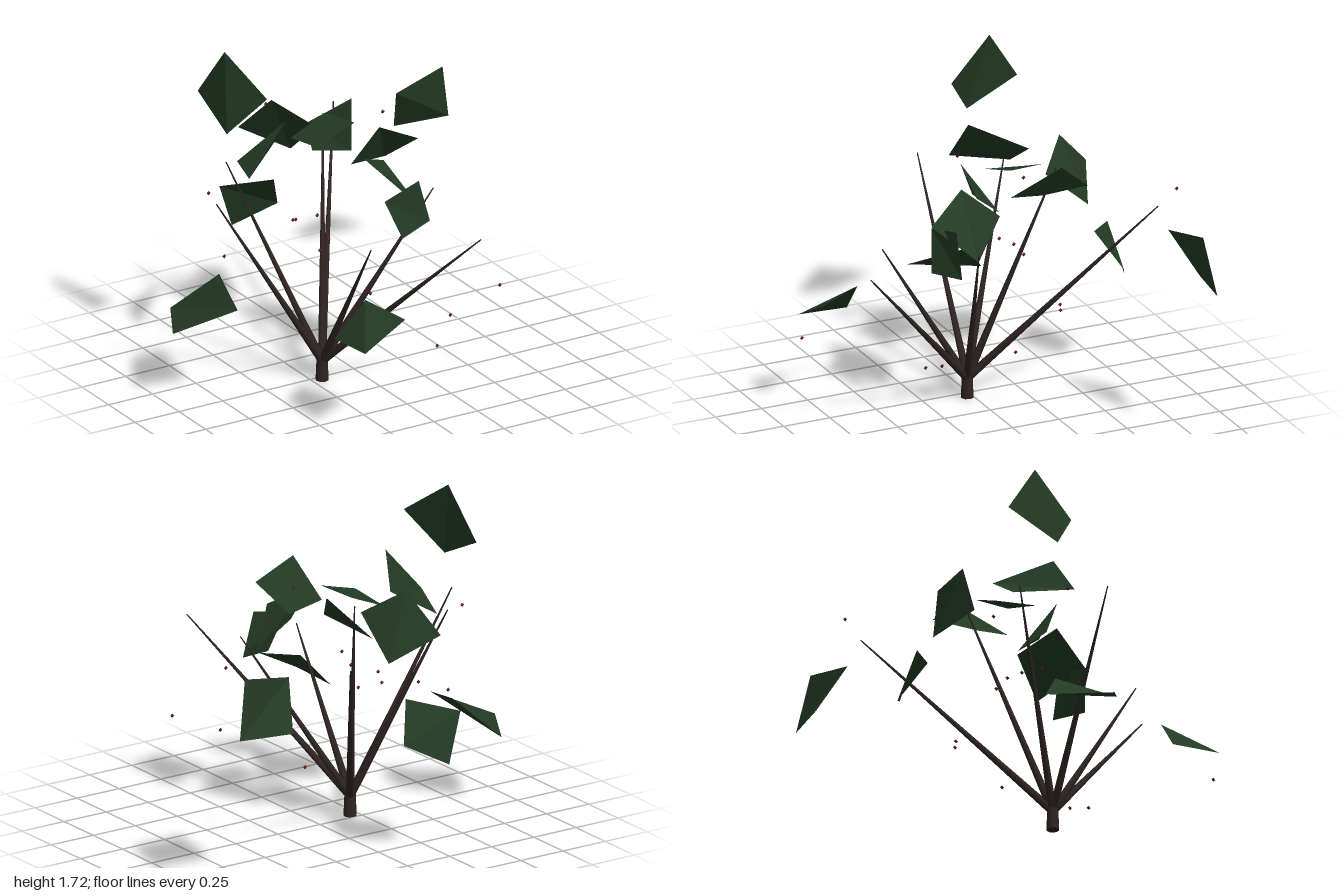
import * as THREE from 'three';

const mat = (name, color, extra = {}) => {
  const m = new THREE.MeshStandardMaterial({ color, ...extra });
  m.name = name;
  return m;
};

export function createModel() {
  const bark = mat('dark bark', 0x2e2322);
  const green = mat('deep leaf green', 0x233a24, { side: THREE.DoubleSide });
  const red = mat('berry red', 0x6b1a1c, { flatShading: true });

  const plant = new THREE.Group();
  plant.name = 'berryBush';
  const add = (name, geometry, material) => {
    const mesh = new THREE.Mesh(geometry, material);
    mesh.name = name;
    plant.add(mesh);
    return mesh;
  };

  // Tapered limb between two points
  const limb = (name, a, b, r0, r1) => {
    const from = new THREE.Vector3(...a), to = new THREE.Vector3(...b);
    const dir = to.clone().sub(from);
    const mesh = add(name, new THREE.CylinderGeometry(r1, r0, dir.length(), 8), bark);
    mesh.position.copy(from).add(to).multiplyScalar(0.5);
    mesh.quaternion.setFromUnitVectors(new THREE.Vector3(0, 1, 0), dir.normalize());
  };

  // Short trunk and the seven branches that fan out of it
  limb('trunk', [-0.2, 0, 0.03], [-0.2, 0.14, 0.03], 0.033, 0.027);
  const tips = [
    [-0.795, 1.065, 0.015], [-0.53, 1.1, -0.33], [-0.2, 0.862, 0.49], [0.03, 1.23, -0.34],
    [0.337, 1.07, -0.746], [0.322, 0.973, 0.217], [0.257, 0.919, 0.77],
  ];
  for (const tip of tips) limb('branch', [-0.2, 0.1, 0.03], tip, 0.021, 0.003);

  // Leaf: a slightly folded four-cornered blade
  const leaf = (a, b, c, d) => {
    const g = new THREE.BufferGeometry();
    g.setAttribute('position', new THREE.Float32BufferAttribute([a, b, c, a, c, d].flat(), 3));
    g.computeVertexNormals();
    add('leaf', g, green);
  };
  // Outer leaves
  leaf([-0.575, 1.72, -0.27], [-0.484, 1.54, -0.02], [-0.623, 1.33, -0.17], [-0.623, 1.46, -0.443]);
  leaf([0.64, 1.075, -0.655], [0.935, 1.134, -0.703], [0.997, 0.84, -0.75], [0.71, 0.834, -0.792]);
  leaf([-0.837, 0.385, -0.35], [-0.65, 0.58, -0.198], [-0.727, 0.516, 0.103], [-1, 0.393, -0.057]);
  leaf([-0.289, 0.652, 0.582], [-0.203, 0.615, 0.815], [-0.44, 0.49, 0.828], [-0.453, 0.474, 0.56]);
  leaf([-0.297, 0.75, -0.775], [-0.09, 0.803, -0.604], [0.003, 0.612, -0.722], [-0.2, 0.504, -0.818]);
  // Crown leaves
  leaf([-0.57, 1.125, -0.047], [-0.355, 1.366, -0.05], [-0.205, 1.25, -0.307], [-0.467, 1.09, -0.33]);
  leaf([-0.19, 1.303, -0.463], [-0.27, 1.108, -0.645], [-0.032, 0.978, -0.543], [-0.027, 1.18, -0.31]);
  leaf([0.037, 1.11, -0.51], [0.171, 1.29, -0.302], [0.04, 1.12, -0.09], [-0.05, 1.06, -0.31]);
  leaf([-0.19, 1.17, -0.28], [0.01, 1.255, -0.286], [0.053, 1.27, -0.083], [-0.176, 1.2, -0.05]);
  // Front leaves
  leaf([0.035, 1.348, 0.18], [0.249, 1.246, 0.195], [0.16, 1.11, 0.03], [-0.06, 1.13, 0.07]);
  leaf([-0.015, 1.01, 0.312], [0.2, 1.062, 0.28], [0.264, 0.835, 0.28], [0.065, 0.81, 0.35]);
  leaf([-0.03, 1.18, 0.144], [0.155, 1.087, 0.024], [0.243, 0.903, 0.18], [0.07, 1.055, 0.353]);

  // Tiny scattered berries
  const berryShape = new THREE.OctahedronGeometry(0.011);
  const berries = [
    [0.086, 1.03, -0.967], [-0.727, 1.04, -0.17], [0.39, 0.67, -0.19], [0.44, 0.662, -0.168],
    [0.212, 1.294, -0.077], [0.137, 0.344, -0.07], [-0.596, 0.647, -0.238], [-0.077, 0.755, -0.217],
    [-0.21, 0.757, -0.227], [-0.235, 0.79, -0.16], [-0.238, 0.804, 0.155], [-0.267, 0.738, 0.12],
    [0.261, 0.406, 0.476], [0.522, 0.52, 0.513], [-0.113, 0.512, 0.967],
  ];
  for (const p of berries) add('berry', berryShape, red).position.set(...p);

  return plant;
}
